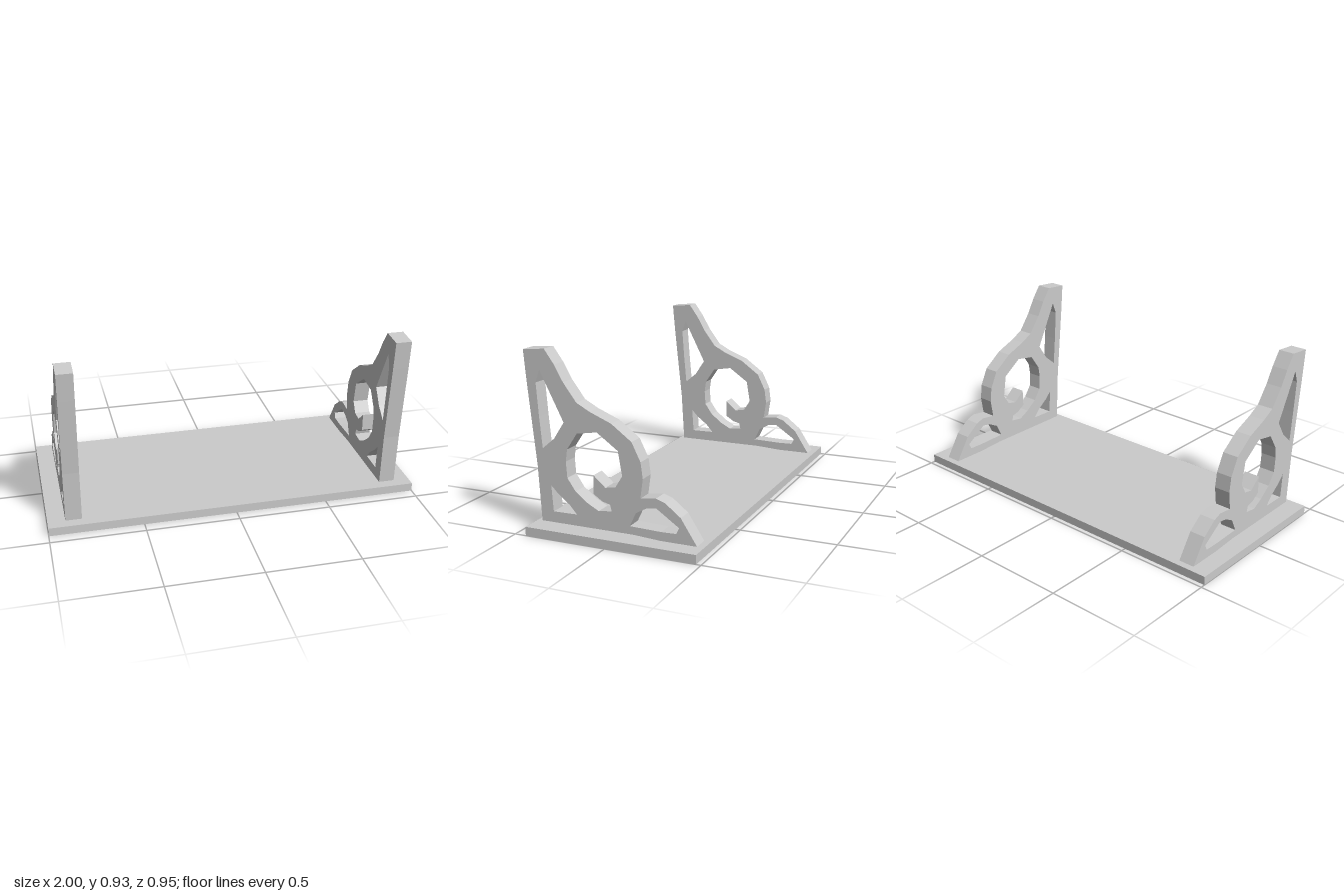
import * as THREE from 'three';

const toPoints = (pairs) => pairs.map(([z, y]) => new THREE.Vector2(z, y));

// Bracket profile as [z, y] pairs
const OUTLINE = [
  [0.475, 0.915], [0.357, 0.925], [0.304, 0.852], [0.258, 0.771], [0.187, 0.677],
  [0.116, 0.639], [0.002, 0.593], [-0.105, 0.515], [-0.151, 0.422], [-0.162, 0.341],
  [-0.148, 0.243], [-0.23, 0.254], [-0.278, 0.237], [-0.357, 0.176], [-0.44, 0.047],
  [-0.255, 0.047], [-0.108, 0.056], [0.398, 0.056], [0.415, 0.34], [0.446, 0.625], [0.461, 0.765],
];

const HOLES = [
  // upper sliver
  [[0.387, 0.82], [0.26, 0.572], [0.316, 0.486], [0.382, 0.43], [0.397, 0.588], [0.41, 0.756]],
  // round opening with the curl reaching into it
  [[0.08, 0.542], [-0.032, 0.463], [-0.053, 0.341], [-0.016, 0.282], [0.039, 0.272], [0.103, 0.327],
    [0.104, 0.232], [0.057, 0.201], [0.015, 0.19], [0.007, 0.158], [0.078, 0.149], [0.138, 0.181],
    [0.204, 0.232], [0.248, 0.295], [0.254, 0.377], [0.245, 0.44], [0.189, 0.524]],
  // lower corner
  [[0.341, 0.247], [0.301, 0.206], [0.24, 0.16], [0.199, 0.114], [0.331, 0.112]],
  // small end arch
  [[-0.23, 0.206], [-0.349, 0.125], [-0.334, 0.094], [-0.255, 0.092], [-0.09, 0.097],
    [-0.123, 0.167], [-0.179, 0.198]],
];

export function createModel() {
  const group = new THREE.Group();
  const material = new THREE.MeshStandardMaterial({ color: 0xcccccc, flatShading: true });

  // Flat board
  const board = new THREE.Mesh(new THREE.BoxGeometry(2, 0.046, 0.914), material);
  board.name = 'board';
  board.position.set(0, 0.023, -0.018);
  group.add(board);

  // Pair of scrolled brackets
  const thickness = 0.086;
  const shape = new THREE.Shape(toPoints(OUTLINE));
  shape.holes = HOLES.map((hole) => new THREE.Path(toPoints(hole)));
  const profile = new THREE.ExtrudeGeometry(shape, { depth: thickness, bevelEnabled: false });
  profile.translate(0, 0, -thickness / 2);
  profile.rotateY(-Math.PI / 2);

  for (const [name, side] of [['leftBracket', 1], ['rightBracket', -1]]) {
    const bracket = new THREE.Mesh(profile, material);
    bracket.name = name;
    bracket.position.x = side * 0.864;
    group.add(bracket);
  }
  return group;
}
